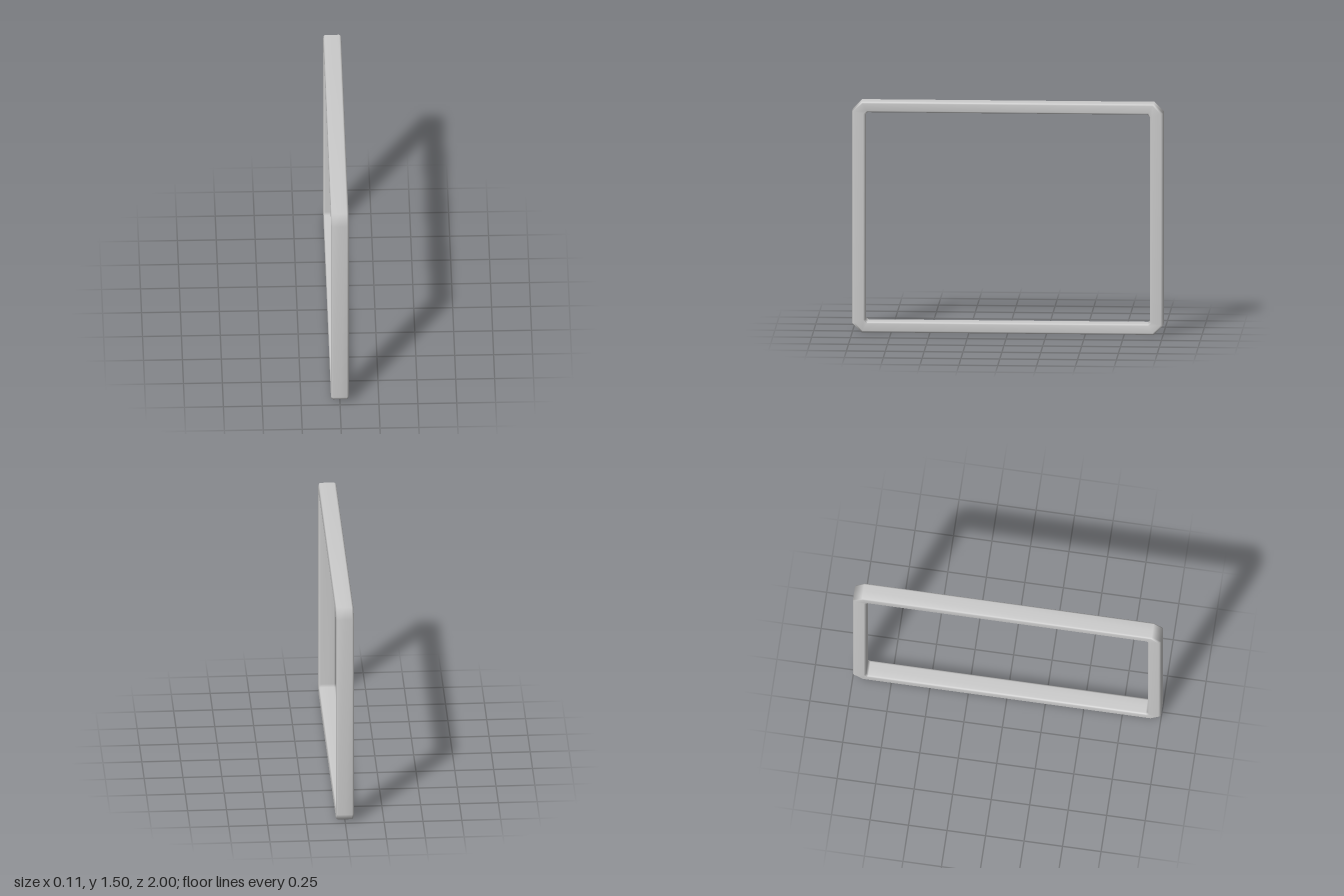
import * as THREE from 'three';

// Bar cross-section: [x, t], t runs from the outer edge (0) to the inner edge (1)
const half = [[0, 0], [0.045, 0], [0.053, 0.06], [0.057, 0.18], [0.057, 0.84], [0.052, 0.95], [0.043, 1], [0, 1]];
const section = [...half, ...half.slice(1, -1).reverse().map(([x, t]) => [-x, t])];

// Rectangle with cut corners in the z-y plane, at depth t into the bar
function outline(t) {
  const z = 1 - 0.085 * t, y = 0.7525 - 0.07 * t, c = 0.06 - 0.045 * t;
  return [
    [z, -y + c], [z, y - c], [z - c, y], [-z + c, y],
    [-z, y - c], [-z, -y + c], [-z + c, -y], [z - c, -y],
  ];
}

function frameGeometry() {
  const positions = [], index = [];
  const n = section.length, m = 8;
  for (const [x, t] of section) {
    for (const [z, y] of outline(t)) positions.push(x, y + 0.7525, z);
  }
  for (let j = 0; j < n; j++) {
    for (let k = 0; k < m; k++) {
      const j2 = (j + 1) % n, k2 = (k + 1) % m;
      const a = j * m + k, b = j2 * m + k, c = j2 * m + k2, d = j * m + k2;
      index.push(a, b, c, a, c, d);
    }
  }
  const geometry = new THREE.BufferGeometry();
  geometry.setAttribute('position', new THREE.Float32BufferAttribute(positions, 3));
  geometry.setIndex(index);
  geometry.computeVertexNormals();
  return geometry;
}

export function createModel() {
  const group = new THREE.Group();
  const frame = new THREE.Mesh(frameGeometry(), new THREE.MeshStandardMaterial({ color: 0xcccccc }));
  frame.name = 'rectangularFrame';
  group.add(frame);
  return group;
}
